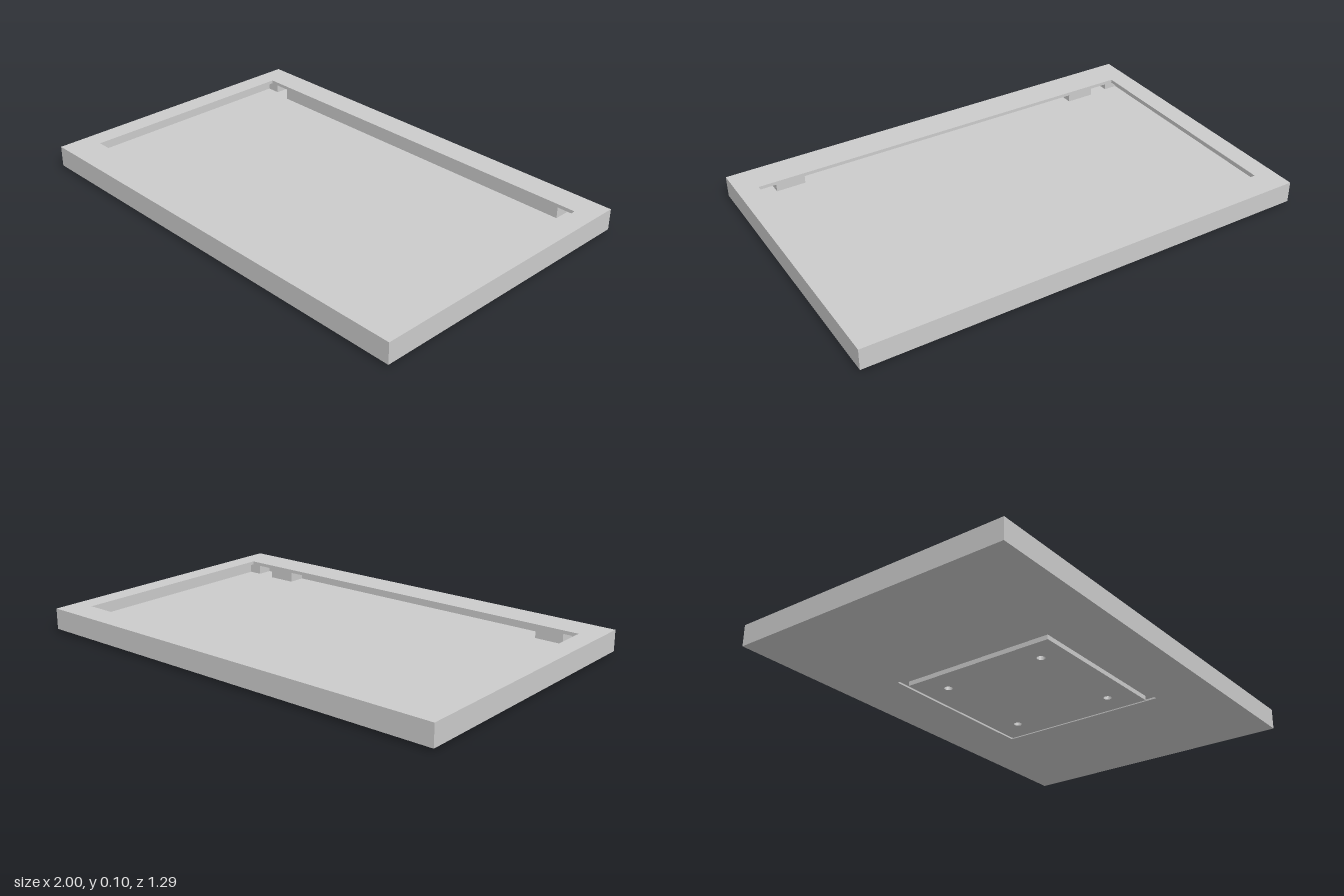
import * as THREE from 'three';

const material = new THREE.MeshStandardMaterial({ color: 0xcccccc });

// Adds a rectangle (x0..x1, z0..z1) to a shape or path; shape y is -z
function rect(path, x0, x1, z0, z1) {
  path.moveTo(x0, -z1);
  path.lineTo(x1, -z1);
  path.lineTo(x1, -z0);
  path.lineTo(x0, -z0);
  path.closePath();
  return path;
}

// Horizontal slab from y0 to y1 with optional holes
function slab(name, [x0, x1, z0, z1], y0, y1, holes = []) {
  const shape = rect(new THREE.Shape(), x0, x1, z0, z1);
  shape.holes.push(...holes);
  const geometry = new THREE.ExtrudeGeometry(shape, { depth: y1 - y0, bevelEnabled: false, curveSegments: 12 });
  geometry.rotateX(-Math.PI / 2).translate(0, y0, 0);
  const mesh = new THREE.Mesh(geometry, material);
  mesh.name = name;
  return mesh;
}

export function createModel() {
  const model = new THREE.Group();
  model.name = 'shallowHousing';

  const outer = [-1, 1, -0.645, 0.645];
  const cavity = [-0.975, 0.975, -0.62, 0.62];
  const opening = [-0.91, 0.91, -0.525, 0.5];
  const pocket = [-0.39, 0.39, -0.39, 0.39];
  const bottomY = 0.012, pocketY = 0.02, floorY = 0.03, lipY = 0.09, topY = 0.105;
  const hole = (r) => rect(new THREE.Path(), ...r);

  // Shell: underside with a square pocket, floor, walls and overhanging bezel
  model.add(
    slab('underside', outer, bottomY, pocketY, [hole(pocket)]),
    slab('floor', outer, pocketY, floorY),
    slab('walls', outer, floorY, lipY, [hole(cavity)]),
    slab('bezel', outer, lipY, topY, [hole(opening)])
  );

  // Mounting plate in the pocket, with four screw holes
  const screwHoles = [];
  for (const x of [-0.24, 0.24]) {
    for (const z of [-0.24, 0.24]) {
      screwHoles.push(new THREE.Path().absarc(x, z, 0.018, 0, Math.PI * 2));
    }
  }
  model.add(slab('mountingPlate', [-0.357, 0.357, -0.357, 0.357], 0, pocketY, screwHoles));

  // Long support rail under the rear bezel
  model.add(slab('rearRail', [-0.82, 0.82, -0.62, -0.54], floorY, lipY));

  // Mirrored front supports and corner posts
  for (const side of [-1, 1]) {
    const span = (a, b) => (side > 0 ? [a, b] : [-b, -a]);
    model.add(
      slab('frontSupport', [...span(0.69, 0.82), 0.54, 0.62], floorY, lipY),
      slab('rearCornerPost', [...span(0.912, 0.975), -0.62, -0.56], floorY, lipY),
      slab('frontCornerPost', [...span(0.912, 0.975), 0.55, 0.62], floorY, lipY)
    );
  }
  return model;
}
